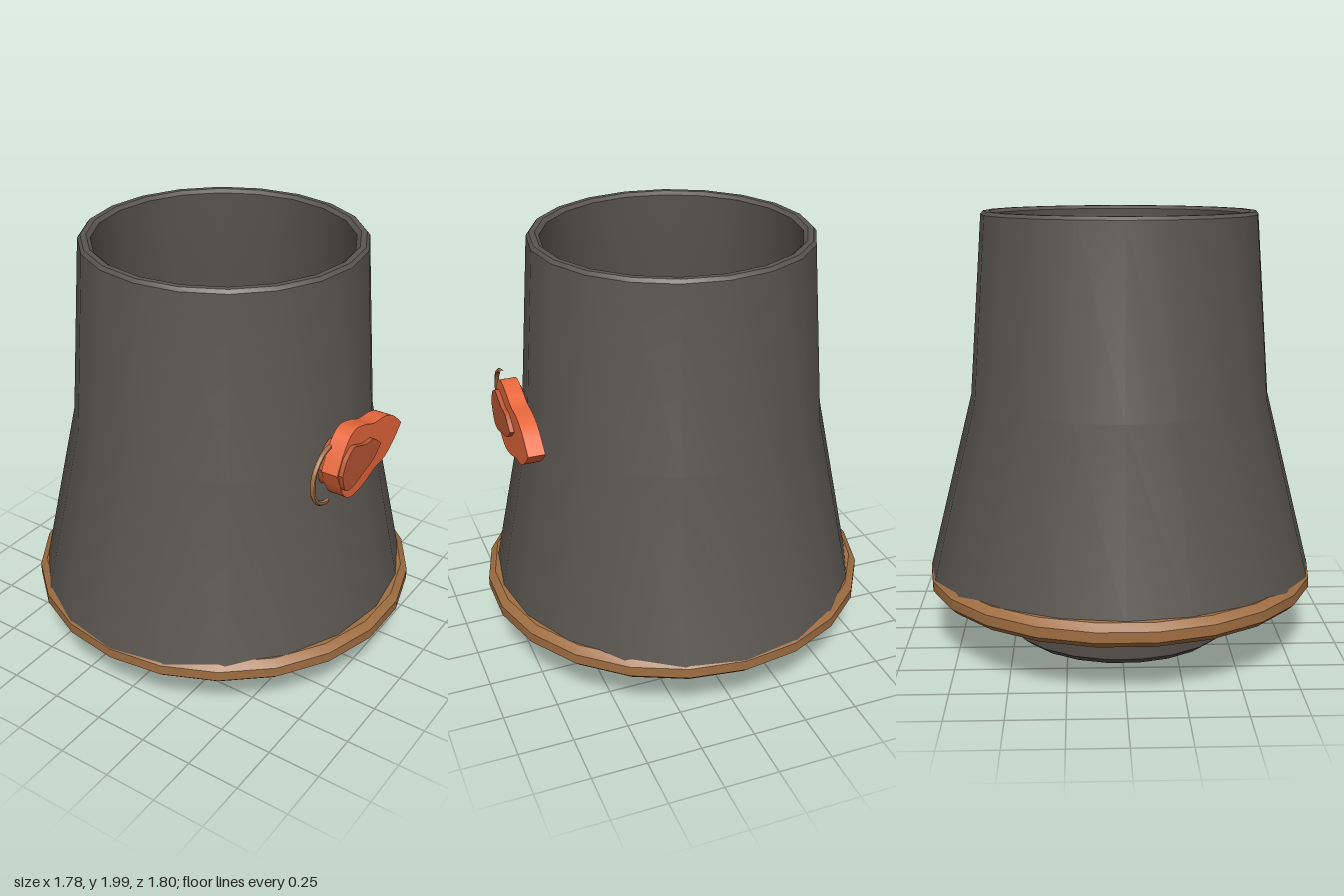
import * as THREE from 'three';
import { toCreasedNormals } from 'three/addons/utils/BufferGeometryUtils.js';

const mat = (color) => new THREE.MeshStandardMaterial({ color });
const v2 = (list) => list.map(([a, b]) => new THREE.Vector2(a, b));

const cloth = mat(0x5a5550);
const iron = mat(0x554e49);
const bronze = mat(0xa06e42);
const orange = mat(0xe8683c);
const darkOrange = mat(0xbb5733);

export function createModel() {
  const model = new THREE.Group();

  function add(name, geometry, material, crease = 0.5) {
    const mesh = new THREE.Mesh(toCreasedNormals(geometry, crease), material);
    mesh.name = name;
    model.add(mesh);
    return mesh;
  }

  // Ring with a chamfered eight-sided section
  function ring(name, rIn, rOut, y0, y1, cr, cy, material, sides = 22) {
    const section = v2([
      [rIn + cr, y0], [rOut - cr, y0], [rOut, y0 + cy], [rOut, y1 - cy],
      [rOut - cr, y1], [rIn + cr, y1], [rIn, y1 - cy], [rIn, y0 + cy], [rIn + cr, y0],
    ]);
    return add(name, new THREE.LatheGeometry(section, sides), material);
  }

  // Flared hollow body, slightly narrower across x at the foot
  const wall = new THREE.LatheGeometry(v2([
    [0.86, 0.33], [0.9, 0.33], [0.69, 1.16], [0.628, 1.985], [0.615, 2],
    [0.59, 2], [0.572, 1.985], [0.64, 1.16], [0.86, 0.33],
  ]), 20);
  const p = wall.attributes.position;
  for (let i = 0; i < p.count; i++) {
    const low = Math.max(0, (1.16 - p.getY(i)) / 0.83);
    p.setX(i, p.getX(i) * (1 - 0.05 * low));
  }
  add('flaredBody', wall, cloth, 0.6);

  // Hem trim, hidden inner hoop and the separate small ring below
  ring('hemTrim', 0.79, 0.9, 0.26, 0.367, 0.032, 0.03, bronze);
  ring('innerHoop', 0.7, 0.745, 0.75, 0.785, 0.01, 0.01, bronze);
  ring('lowerRing', 0.4, 0.533, 0.025, 0.165, 0.046, 0.036, iron);

  // Faceted stud on the front of the lower ring
  const stud = add('ringStud', new THREE.LatheGeometry(v2([
    [0, 0.01], [0.05, 0.05], [0.05, 0.142], [0, 0.185],
  ]), 6), orange, 0.3);
  stud.position.z = 0.49;

  // Plate cut in the side plane; points are (z, y), from front tip to rear tip and back
  function plate(name, upper, lower, x0, x1, material) {
    const flip = (list) => v2(list.map(([z, y]) => [-z, y]));
    const shape = new THREE.Shape();
    shape.moveTo(-upper[0][0], upper[0][1]);
    shape.splineThru(flip(upper.slice(1)));
    shape.splineThru(flip([...lower, upper[0]]));
    const geometry = new THREE.ExtrudeGeometry(shape, { depth: x1 - x0, bevelEnabled: false, curveSegments: 16 });
    geometry.rotateY(Math.PI / 2).translate(x0, 0, 0);
    return add(name, geometry, material);
  }

  const mainUpper = [[0.288, 1.187], [0.25, 1.26], [0.2, 1.325], [0.14, 1.348], [0.06, 1.33],
    [-0.02, 1.3], [-0.12, 1.288], [-0.2, 1.255], [-0.29, 1.18]];
  const mainLower = [[-0.22, 1.115], [-0.14, 1.07], [-0.05, 1.057], [0.03, 1.03], [0.14, 1.018], [0.22, 1.06]];
  const smallUpper = [[0.278, 1.187], [0.245, 1.25], [0.19, 1.285], [0.14, 1.272], [0.08, 1.25],
    [0.01, 1.243], [-0.06, 1.19]];
  const smallLower = [[0, 1.14], [0.1, 1.11], [0.18, 1.09], [0.245, 1.105]];

  // Side ornament: main plate with a raised patch on each face
  plate('ornamentPlate', mainUpper, mainLower, 0.687, 0.763, orange);
  plate('ornamentOuterPatch', smallUpper, smallLower, 0.76, 0.783, darkOrange);
  plate('ornamentInnerPatch', smallUpper, smallLower, 0.66, 0.69, darkOrange);

  // Half-loop hook in front of the ornament
  const hook = add('ornamentHook', new THREE.TorusGeometry(0.13, 0.011, 6, 16, Math.PI), bronze, 1.2);
  hook.rotation.set(0, -Math.PI / 2, -Math.PI / 2, 'YXZ');
  hook.position.set(0.722, 1.19, 0.288);

  return model;
}
